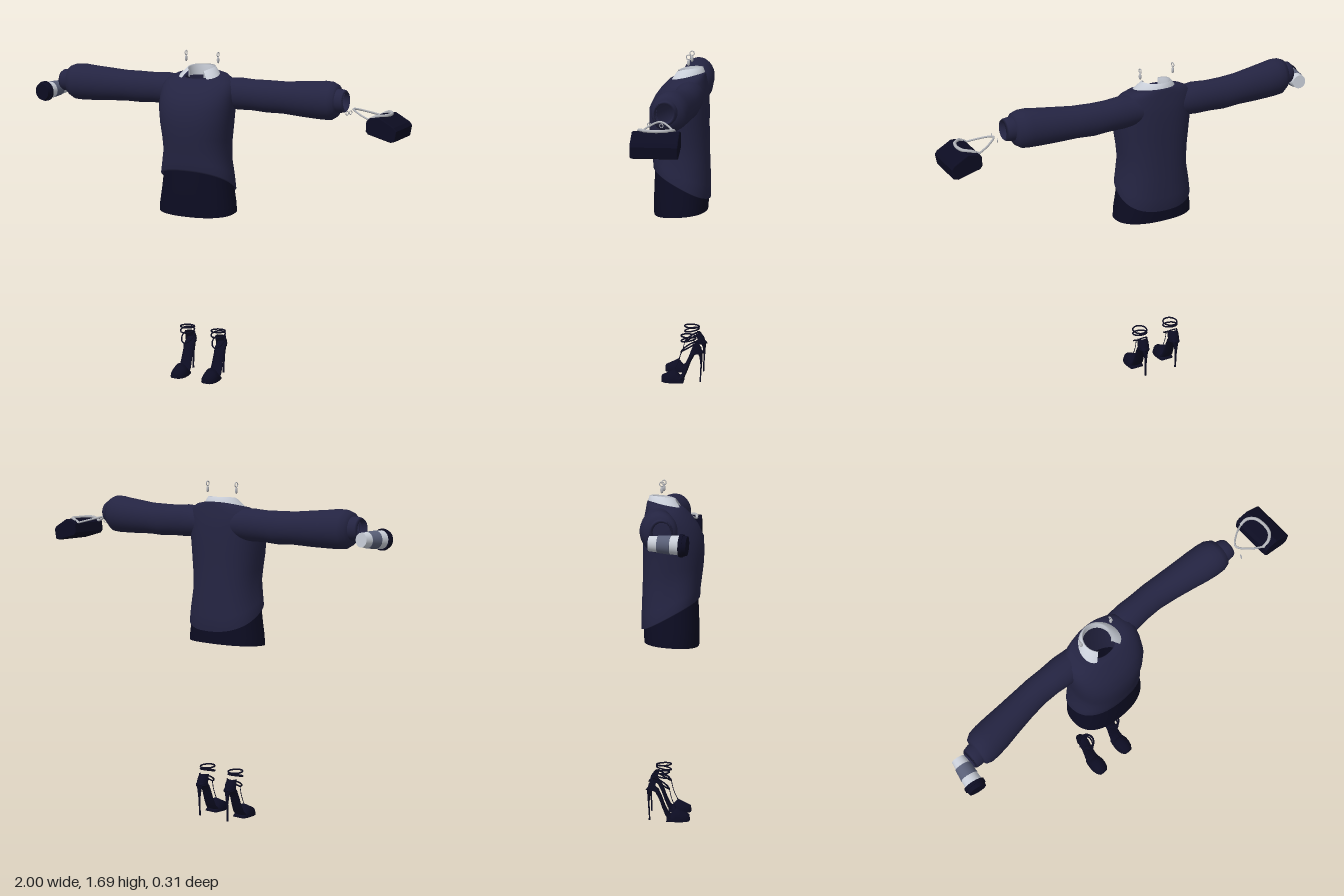
import * as THREE from 'three';

const V = (x, y, z) => new THREE.Vector3(x, y, z);
const CX = -0.1; // centre line of the outfit

const mat = (name, color) => {
  const m = new THREE.MeshStandardMaterial({ color, side: THREE.DoubleSide });
  m.name = name;
  return m;
};

function mesh(name, geometry, material, parent) {
  const m = new THREE.Mesh(geometry, material);
  m.name = name;
  parent.add(m);
  return m;
}

// Skin a list of point rings; closed rings wrap around
function loft(rings, closed = true) {
  const n = rings[0].length, pos = [], idx = [];
  rings.forEach(r => r.forEach(p => pos.push(p.x, p.y, p.z)));
  for (let i = 0; i < rings.length - 1; i++)
    for (let j = 0; j < (closed ? n : n - 1); j++) {
      const a = i * n + j, b = i * n + (j + 1) % n;
      idx.push(a, a + n, b, b, a + n, b + n);
    }
  const g = new THREE.BufferGeometry();
  g.setAttribute('position', new THREE.Float32BufferAttribute(pos, 3));
  g.setIndex(idx);
  g.computeVertexNormals();
  return g;
}

const ring = (n, f) => Array.from({ length: n }, (_, i) => f(i / n * Math.PI * 2));
const pw = (v, e) => Math.sign(v) * Math.abs(v) ** e;
const tube = (pts, r, closed = false, seg = 40) =>
  new THREE.TubeGeometry(new THREE.CatmullRomCurve3(pts, closed), seg, r, 6, closed);

// Horizontal body ring: half width, front z and back z; tilt raises the front
function bodyRing([y, rx, zf, zb, tilt = 0]) {
  return ring(56, a => {
    const z = (zf + zb) / 2 + (zf - zb) / 2 * pw(Math.sin(a), 0.85);
    return V(CX + rx * pw(Math.cos(a), 0.85), y + tilt * z, z);
  });
}

function addTop(root, M) {
  // Sweater body with a hem that dips at the back
  mesh('sweaterBody', loft([
    [1.04, 0.188, 0.128, -0.145, 0.55], [1.045, 0.194, 0.136, -0.154, 0.55],
    [1.1, 0.186, 0.138, -0.154, 0.45], [1.18, 0.172, 0.146, -0.15, 0.3],
    [1.26, 0.176, 0.153, -0.146, 0.12], [1.34, 0.187, 0.157, -0.145],
    [1.42, 0.195, 0.154, -0.145], [1.48, 0.197, 0.125, -0.142],
    [1.52, 0.195, 0.095, -0.138], [1.55, 0.178, 0.07, -0.13, -0.08],
    [1.568, 0.14, 0.055, -0.126, -0.15], [1.572, 0.085, 0.04, -0.122, -0.2],
    [1.56, 0.078, 0.034, -0.116, -0.2],
  ].map(bodyRing)), M.sweater, root);

  // Sleeves: distance from centre, y, z, half height, half depth
  const sleeve = [
    [0.1, 1.49, -0.06, 0.07, 0.065], [0.2, 1.49, -0.06, 0.08, 0.073],
    [0.28, 1.488, -0.063, 0.077, 0.068], [0.36, 1.486, -0.064, 0.08, 0.068],
    [0.45, 1.488, -0.055, 0.079, 0.072], [0.55, 1.49, -0.043, 0.086, 0.078],
    [0.62, 1.492, -0.034, 0.09, 0.084], [0.68, 1.495, -0.027, 0.094, 0.086],
    [0.72, 1.495, -0.023, 0.092, 0.083], [0.748, 1.498, -0.018, 0.078, 0.07],
    [0.755, 1.5, -0.014, 0.05, 0.046],
  ];
  const cuff = [
    [0.74, 1.5, -0.015, 0.056, 0.052], [0.765, 1.5, -0.012, 0.058, 0.054],
    [0.79, 1.5, -0.01, 0.054, 0.05], [0.8, 1.5, -0.008, 0.046, 0.043],
    [0.77, 1.5, -0.008, 0.042, 0.04],
  ];
  for (const s of [-1, 1]) {
    const limb = rows => loft(rows.map(([u, y, z, h, d]) =>
      ring(32, a => V(CX + s * u, y + h * Math.sin(a), z + d * Math.cos(a)))));
    const side = s > 0 ? 'left' : 'right';
    mesh(side + 'Sleeve', limb(sleeve), M.sweater, root);
    mesh(side + 'Cuff', limb(cuff), M.sweater, root);
  }

  // Shirt collar: a stand at the neck folding over into two pointed flaps
  const collar = [[0.066, 0.066, 1.565, 0], [0.064, 0.066, 1.615, -0.018],
    [0.07, 0.071, 1.62, -0.02], [0.088, 0.08, 1.595, -0.04], [0.1, 0.085, 1.572, -0.046]];
  mesh('shirtCollar', loft(collar.map(([rx, rz, y, drop], k) =>
    Array.from({ length: 41 }, (_, i) => {
      const t = i / 20 - 1, a = t * 2.5, f = Math.abs(t) ** 3;
      const point = k > 2 ? f * 0.022 : 0; // flap tips reach forward
      return V(CX + rx * Math.sin(a) * (1 + f * (k > 2 ? 0.45 : 0)),
        y + drop * f, -0.042 - rz * Math.cos(a) + point);
    })), false), M.white, root);
}

function addShorts(root, M) {
  mesh('shortsBody', loft([
    [0.888, 0.203, 0.132, -0.14, -0.07], [0.93, 0.2, 0.134, -0.142, -0.04],
    [1.0, 0.188, 0.132, -0.142], [1.1, 0.175, 0.128, -0.14], [1.16, 0.165, 0.125, -0.138],
  ].map(bodyRing)), M.navy, root);
  // Underside with two leg openings
  const base = new THREE.Shape().absellipse(0, 0, 0.196, 0.135, 0, Math.PI * 2);
  for (const s of [-1, 1])
    base.holes.push(new THREE.Path().absellipse(s * 0.09, 0, 0.068, 0.09, 0, Math.PI * 2));
  const g = new THREE.ShapeGeometry(base, 32).rotateX(Math.PI / 2);
  mesh('shortsUnderside', g, M.navy, root).position.set(CX, 0.915, -0.004);
}

function addCup(root, M) {
  const cup = new THREE.Group();
  cup.name = 'cup';
  const part = (name, y0, y1, r0, r1, m) =>
    mesh(name, new THREE.CylinderGeometry(r1, r0, y1 - y0, 32), m, cup).position.y = (y0 + y1) / 2;
  part('cupBody', 0, 0.142, 0.034, 0.044, M.white);
  part('cupBand', 0.04, 0.098, 0.039, 0.043, M.slate);
  part('cupLidRim', 0.138, 0.154, 0.051, 0.051, M.navy);
  part('cupLidTop', 0.154, 0.172, 0.047, 0.043, M.navy);
  cup.position.set(-0.928, 1.455, -0.06);
  cup.quaternion.setFromUnitVectors(V(0, 1, 0), V(-0.16, -0.05, 1).normalize());
  root.add(cup);
}

function addHandbag(root, M) {
  const bag = new THREE.Group();
  bag.name = 'handbag';
  root.add(bag);
  // Side outline drawn out along the bag's width
  const outline = new THREE.Shape([[0.852, 1.432], [0.865, 1.444], [0.915, 1.45], [0.985, 1.41],
    [0.996, 1.395], [0.988, 1.35], [0.97, 1.345], [0.86, 1.375], [0.85, 1.388]]
    .map(p => new THREE.Vector2(...p)));
  const g = new THREE.ExtrudeGeometry(outline, {
    depth: 0.2, bevelThickness: 0.006, bevelSize: 0.004, bevelSegments: 2 });
  mesh('bagBody', g, M.navy, bag).position.z = -0.097;
  // Handle lying over the flap, and the strap running to the hand
  mesh('bagHandle', tube([V(0.85, 1.437, -0.075), V(0.885, 1.455, -0.072), V(0.918, 1.457, -0.045),
    V(0.928, 1.456, 0.004), V(0.918, 1.457, 0.052), V(0.885, 1.455, 0.08),
    V(0.85, 1.437, 0.083)], 0.008), M.silver, bag);
  mesh('bagStrap', tube([V(0.86, 1.435, -0.078), V(0.8, 1.452, -0.05), V(0.75, 1.468, -0.012),
    V(0.742, 1.47, 0.004), V(0.75, 1.468, 0.02), V(0.8, 1.452, 0.058),
    V(0.86, 1.435, 0.086)], 0.005), M.silver, bag);
  // Finger rings beside the hand
  for (const [x, y, z] of [[0.725, 1.45, 0.0], [0.73, 1.455, 0.055]]) {
    const r = mesh('fingerRing', new THREE.TorusGeometry(0.009, 0.002, 6, 16), M.silver, root);
    r.position.set(x, y, z);
    r.rotation.y = 1.2;
  }
}

function addEarring(x, root, M) {
  const e = new THREE.Group();
  e.name = 'earring';
  e.position.set(x, 0, -0.048);
  mesh('earringHoop', new THREE.TorusGeometry(0.011, 0.0025, 6, 20).rotateY(Math.PI / 2), M.silver, e).position.y = 1.678;
  mesh('earringDrop', new THREE.SphereGeometry(0.008, 12, 10).scale(0.8, 2, 1), M.silver, e).position.y = 1.65;
  root.add(e);
}

function addShoe(x, root, M) {
  const shoe = new THREE.Group();
  shoe.name = 'shoe';
  shoe.position.x = x;
  root.add(shoe);
  // Closed toe: z, half width, height
  mesh('toeBox', loft([[0.09, 0.004, 0.02], [0.088, 0.022, 0.032], [0.07, 0.036, 0.04],
    [0.045, 0.042, 0.052], [0.022, 0.042, 0.064], [-0.004, 0.039, 0.035], [-0.026, 0.034, 0.014], [-0.026, 0.001, 0.004]]
    .map(([z, w, h]) => ring(24, a => V(w * Math.cos(a), Math.max(0, h * pw(Math.sin(a), 0.8)), z)))),
  M.navy, shoe);
  // Arched sole rising to the heel: z, y, half width, half thickness
  mesh('archedSole', loft([[0.0, 0.012, 0.036, 0.01], [-0.022, 0.03, 0.034, 0.008],
    [-0.04, 0.07, 0.031, 0.007], [-0.056, 0.115, 0.029, 0.007], [-0.074, 0.152, 0.029, 0.008],
    [-0.098, 0.168, 0.028, 0.01], [-0.12, 0.165, 0.018, 0.012], [-0.124, 0.164, 0.001, 0.001]]
    .map(([z, y, w, t]) => ring(16, a => V(w * Math.cos(a), y + t * Math.sin(a), z + t * Math.sin(a))))),
  M.navy, shoe);
  // Heel cup wrapping the back of the foot
  mesh('heelCup', loft([[0.155, 0.03, 0.04, 0], [0.185, 0.031, 0.037, 0.004], [0.212, 0.027, 0.026, 0.012]]
    .map(([y, w, d, f]) => Array.from({ length: 17 }, (_, i) => {
      const a = (i / 8 - 1) * 1.5;
      return V(w * Math.sin(a), y, -0.083 + f - d * Math.cos(a));
    })), false), M.navy, shoe);
  // Stiletto heel
  mesh('stiletto', loft([[0, -0.112, 0.006], [0.02, -0.112, 0.005], [0.09, -0.116, 0.006],
    [0.135, -0.115, 0.012], [0.165, -0.108, 0.022]]
    .map(([y, z, r]) => ring(12, a => V(r * Math.cos(a), y, z + r * 0.7 * Math.sin(a))))), M.navy, shoe);
  // Ankle straps and the thin front strap
  for (const [y, tilt] of [[0.245, 0.05], [0.226, -0.2]])
    mesh('ankleStrap', tube(ring(16, a => V(0.036 * Math.cos(a), y + tilt * 0.04 * Math.sin(a),
      -0.05 + 0.038 * Math.sin(a))), 0.004, true), M.navy, shoe);
  for (const s of [-1, 1])
    mesh('crossStrap', tube([V(s * 0.02, 0.21, -0.09), V(s * 0.032, 0.195, -0.06),
      V(s * 0.022, 0.172, -0.025), V(0, 0.16, -0.012)], 0.004, false, 16), M.navy, shoe);
  mesh('frontStrap', tube([V(0, 0.16, -0.012), V(0, 0.11, 0.0), V(0, 0.06, 0.022)], 0.002, false, 12), M.navy, shoe);
}

export function createModel() {
  const root = new THREE.Group();
  root.name = 'outfit';
  const M = {
    sweater: mat('sweaterBlue', 0x242442),
    navy: mat('darkNavy', 0x0c0c22),
    white: mat('shirtWhite', 0xc9ced8),
    silver: mat('silver', 0xb4b6bc),
    slate: mat('slateBlue', 0x5a6078),
  };
  addTop(root, M);
  addShorts(root, M);
  addCup(root, M);
  addHandbag(root, M);
  for (const s of [-1, 1]) {
    addEarring(CX + s * 0.09, root, M);
    addShoe(CX + s * 0.09, root, M);
  }
  return root;
}
